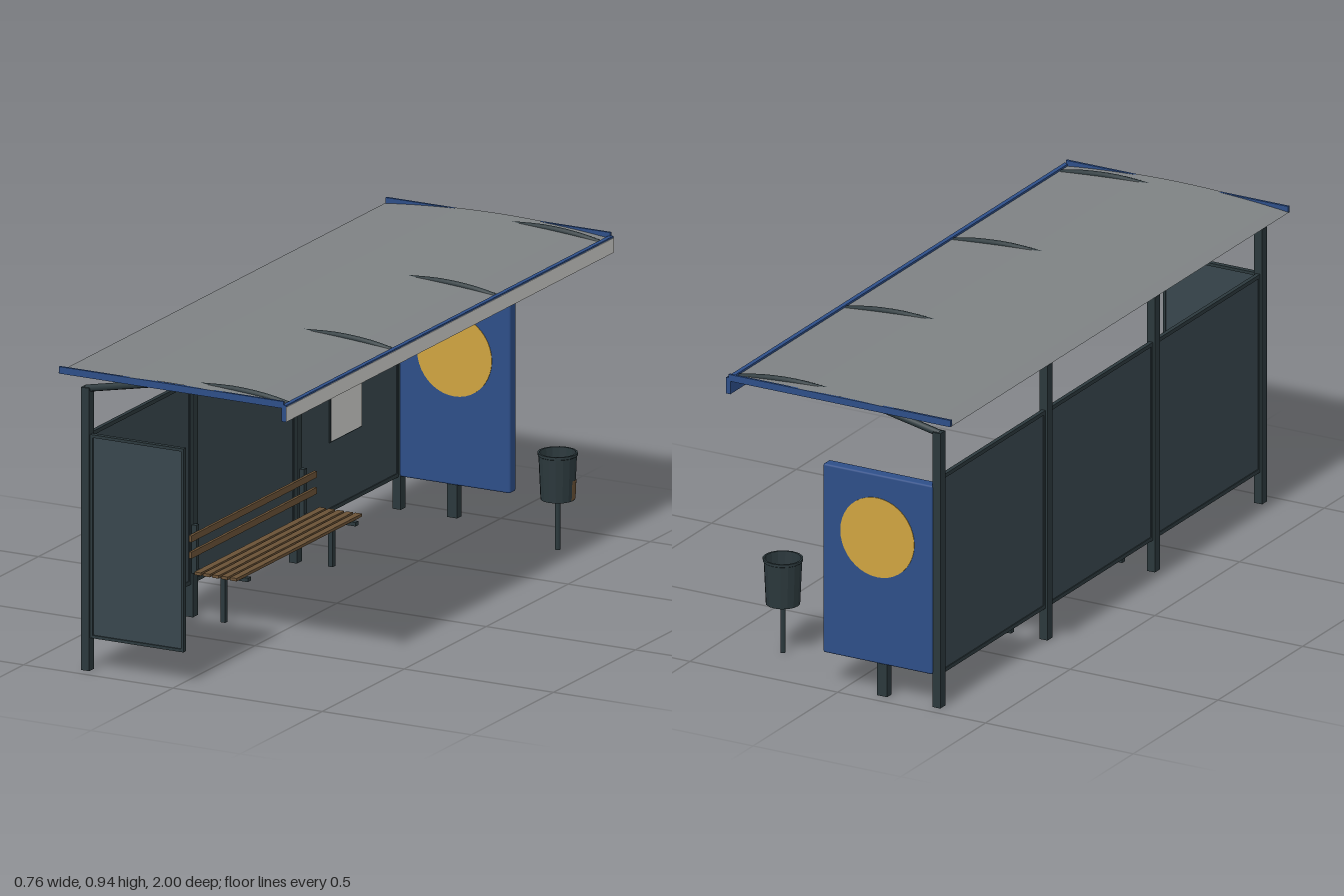
import * as THREE from 'three';
import { RoundedBoxGeometry } from 'three/addons/geometries/RoundedBoxGeometry.js';

const mat = (name, color, side = THREE.FrontSide) => {
  const m = new THREE.MeshStandardMaterial({ color, side });
  m.name = name;
  return m;
};

export function createModel() {
  const steel = mat('dark steel', 0x2b383c, THREE.DoubleSide);
  const glass = mat('tinted panel', 0x38464d);
  const roofGrey = mat('roof grey', 0x7e8284, THREE.DoubleSide);
  const blue = mat('blue paint', 0x2d4e88);
  const white = mat('off white', 0xcfcfcc);
  const yellow = mat('poster yellow', 0xcfa440);
  const wood = mat('brown wood', 0x6a5236);

  const model = new THREE.Group();
  model.name = 'busShelter';
  const add = (name, geometry, material, parent = model) => {
    const mesh = new THREE.Mesh(geometry, material);
    mesh.name = name;
    parent.add(mesh);
    return mesh;
  };
  // Box given by its low and high limits on each axis
  const box = (name, material, [x0, x1], [y0, y1], [z0, z1], parent = model) => {
    const mesh = add(name, new THREE.BoxGeometry(x1 - x0, y1 - y0, z1 - z0), material, parent);
    mesh.position.set((x0 + x1) / 2, (y0 + y1) / 2, (z0 + z1) / 2);
    return mesh;
  };
  const group = (name) => {
    const g = new THREE.Group();
    g.name = name;
    model.add(g);
    return g;
  };

  // Posts with curved rafters
  const postZ = [-0.95, -0.317, 0.317, 0.95];
  const frame = group('frame');
  for (const z of postZ) {
    box('post', steel, [-0.327, -0.3], [0, 0.866], [z - 0.015, z + 0.015], frame);
    const points = [[-0.318, 0.86], [-0.19, 0.886], [-0.06, 0.911], [0.06, 0.921], [0.18, 0.927], [0.29, 0.919], [0.36, 0.906]];
    const curve = new THREE.CatmullRomCurve3(points.map(([x, y]) => new THREE.Vector3(x, y, z)));
    add('rafter', new THREE.TubeGeometry(curve, 18, 0.011, 8), steel, frame);
  }

  // Back wall: one panel with rails per bay
  const wall = group('backWall');
  for (let i = 0; i < 3; i++) {
    const a = postZ[i] + 0.015, b = postZ[i + 1] - 0.015;
    box('backPanel', glass, [-0.317, -0.31], [0.105, 0.72], [a, b], wall);
    for (const y of [0.1, 0.712]) box('rail', steel, [-0.32, -0.307], [y, y + 0.012], [a, b], wall);
    for (const z of [a, b - 0.008]) box('stile', steel, [-0.32, -0.307], [0.1, 0.724], [z, z + 0.008], wall);
  }

  // Framed side panel
  const side = group('sidePanel');
  box('sideGlass', glass, [-0.297, 0.008], [0.105, 0.72], [0.946, 0.954], side);
  for (const y of [0.1, 0.714]) box('sideRail', steel, [-0.3, 0.012], [y, y + 0.009], [0.942, 0.958], side);
  for (const x of [-0.3, 0.004]) box('sideStile', steel, [x, x + 0.008], [0.1, 0.723], [0.942, 0.958], side);

  // Shallow arched roof sheet
  const roof = group('roof');
  const sheet = new THREE.PlaneGeometry(0.755, 2, 16, 1).rotateX(-Math.PI / 2).translate(-0.0075, 0, 0);
  const pos = sheet.attributes.position;
  for (let i = 0; i < pos.count; i++) {
    const t = (pos.getX(i) + 0.0075) / 0.3775;
    pos.setY(i, 0.933 - 0.021 * t * t);
  }
  sheet.computeVertexNormals();
  add('roofSheet', sheet, roofGrey, roof);
  for (const s of [-1, 1]) {
    box('roofEndTrim', blue, [-0.382, 0.37], [0.909, 0.93], s < 0 ? [-1, -0.992] : [0.992, 1], roof);
  }
  box('frontFascia', blue, [0.364, 0.378], [0.868, 0.919], [-0.999, 0.999], roof);
  box('fasciaFace', white, [0.378, 0.38], [0.869, 0.914], [-0.998, 0.998], roof);

  // Poster cabinet with a disc on both faces
  const cabinet = group('posterCabinet');
  const body = add('cabinetBody', new RoundedBoxGeometry(0.37, 0.595, 0.038, 2, 0.006), blue, cabinet);
  body.position.set(-0.117, 0.4, -0.95);
  for (const s of [-1, 1]) {
    const disc = add('posterDisc', new THREE.CylinderGeometry(0.125, 0.125, 0.003, 40).rotateX(Math.PI / 2), yellow, cabinet);
    disc.position.set(-0.117, 0.5, -0.95 + s * 0.0195);
  }
  box('cabinetLeg', steel, [-0.146, -0.112], [0, 0.11], [-0.963, -0.937], cabinet);

  // Timetable on the inside of the back wall
  const board = group('timetable');
  box('timetableSheet', white, [-0.31, -0.304], [0.317, 0.547], [-0.707, -0.52], board);
  box('timetableHeader', wood, [-0.31, -0.304], [0.547, 0.575], [-0.707, -0.52], board);
  box('timetableFrame', steel, [-0.31, -0.306], [0.313, 0.579], [-0.711, -0.516], board);

  // Slatted bench
  const bench = group('bench');
  for (let i = 0; i < 5; i++) {
    const x = -0.268 + i * 0.03;
    box('seatSlat', wood, [x, x + 0.022], [0.148, 0.157], [-0.382, 0.382], bench);
  }
  for (const y of [0.196, 0.246]) box('backSlat', wood, [-0.286, -0.277], [y, y + 0.02], [-0.382, 0.382], bench);
  for (const z of [-0.328, 0.328]) {
    box('seatBearer', steel, [-0.3, -0.113], [0.136, 0.148], [z - 0.009, z + 0.009], bench);
    box('backBracket', steel, [-0.302, -0.286], [0.136, 0.285], [z - 0.009, z + 0.009], bench);
    box('benchLeg', steel, [-0.206, -0.19], [0, 0.14], [z - 0.008, z + 0.008], bench);
  }

  // Litter bin on a pole, open at the top
  const bin = group('litterBin');
  bin.position.set(0.3, 0, -0.8);
  const profile = [[0, 0.155], [0.051, 0.155], [0.057, 0.288], [0.06, 0.29], [0.06, 0.298], [0.054, 0.298], [0.048, 0.163], [0, 0.163]];
  const shell = new THREE.LatheGeometry(profile.map(([x, y]) => new THREE.Vector2(x, y)), 16).toNonIndexed();
  shell.computeVertexNormals();
  add('binShell', shell, steel, bin);
  add('binPole', new THREE.CylinderGeometry(0.008, 0.008, 0.16, 10).translate(0, 0.08, 0), steel, bin);
  const label = new THREE.CylinderGeometry(0.0552, 0.0525, 0.06, 8, 1, true, 1.4, 0.75).translate(0, 0.188, 0);
  add('binLabel', label, wood, bin);

  return model;
}
